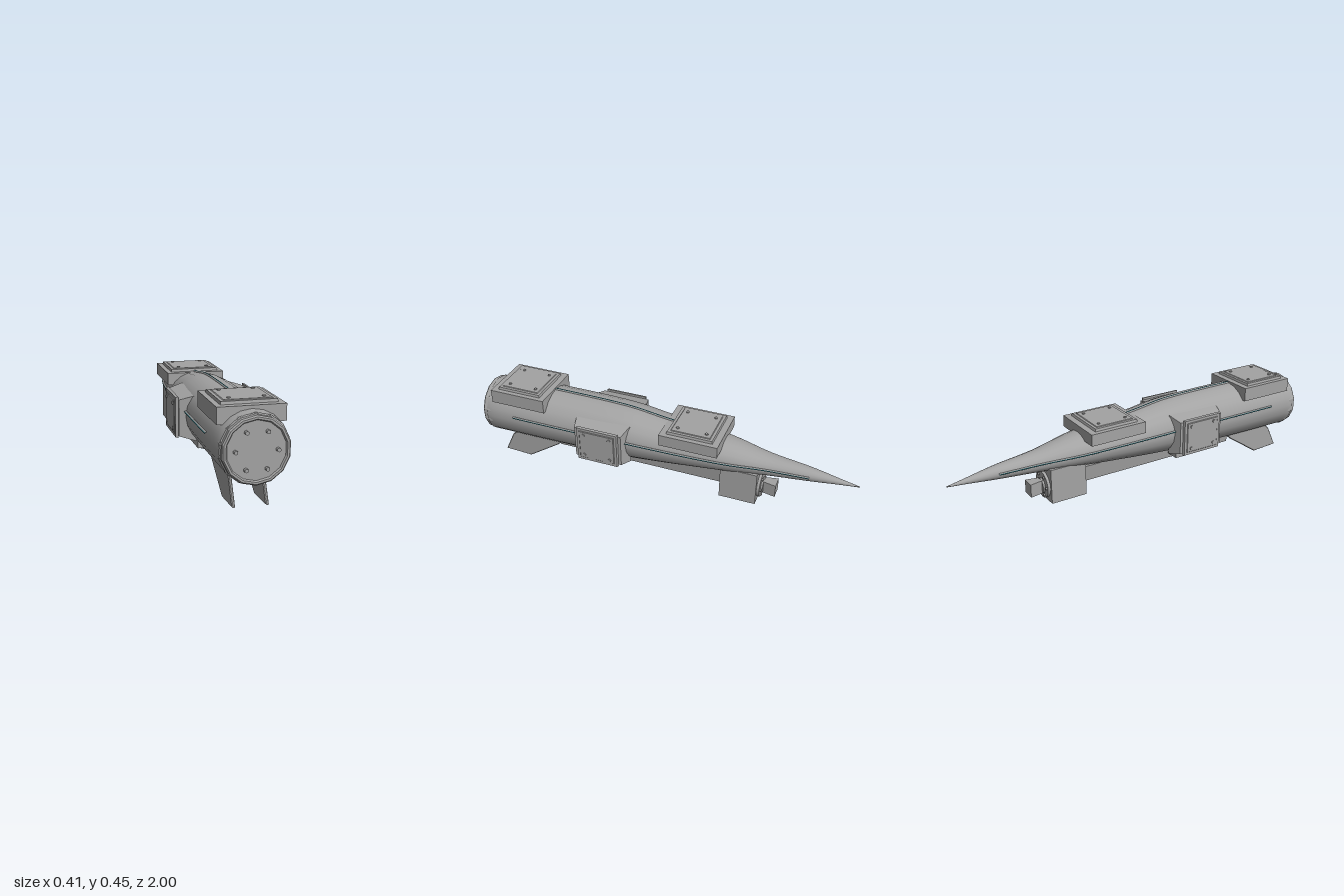
import * as THREE from 'three';
import { mergeVertices } from 'three/addons/utils/BufferGeometryUtils.js';

const hull = new THREE.MeshStandardMaterial({ color: 0xa3a3a3 });
hull.name = 'hull grey';
const teal = new THREE.MeshStandardMaterial({ color: 0x35808c });
teal.name = 'teal light';
const flatHull = hull;

// Body sections from nose cap to tail tip: z, centre y, half width, half height
const SECTIONS = [
  [0.965, 0.27, 0.148, 0.148], [0.9, 0.275, 0.154, 0.15], [0.6, 0.278, 0.157, 0.15],
  [0.2, 0.28, 0.153, 0.141], [0, 0.274, 0.14, 0.121], [-0.2, 0.271, 0.122, 0.1],
  [-0.36, 0.267, 0.103, 0.082], [-0.55, 0.256, 0.066, 0.054],
  [-0.76, 0.251, 0.038, 0.034], [-0.9, 0.245, 0.016, 0.015], [-1, 0.24, 0.002, 0.002],
];

// Smoothly interpolated section at a given z
function section(z) {
  let i = 0;
  while (i < SECTIONS.length - 2 && z < SECTIONS[i + 1][0]) i++;
  const at = (k) => SECTIONS[Math.min(Math.max(k, 0), SECTIONS.length - 1)];
  const a = at(i), b = at(i + 1);
  const span = b[0] - a[0];
  const t = Math.min(Math.max((z - a[0]) / span, 0), 1);
  const slope = (k, c) => (at(k + 1)[c] - at(k - 1)[c]) / (at(k + 1)[0] - at(k - 1)[0]);
  const value = (c) => {
    const t2 = t * t, t3 = t2 * t;
    return (2 * t3 - 3 * t2 + 1) * a[c] + (t3 - 2 * t2 + t) * span * slope(i, c)
      + (3 * t2 - 2 * t3) * b[c] + (t3 - t2) * span * slope(i + 1, c);
  };
  return { cy: value(1), rx: value(2), ry: value(3) };
}

function add(parent, name, geometry, material = flatHull, x = 0, y = 0, z = 0) {
  const mesh = new THREE.Mesh(geometry, material);
  mesh.name = name;
  mesh.position.set(x, y, z);
  parent.add(mesh);
  return mesh;
}

// Box standing on y = 0 whose top may be smaller than its base
function taperedBox(w, h, l, topW = w, topL = l) {
  const g = new THREE.BoxGeometry(w, h, l).translate(0, h / 2, 0);
  const p = g.attributes.position;
  for (let i = 0; i < p.count; i++) {
    if (p.getY(i) > h / 2) {
      p.setX(i, Math.sign(p.getX(i)) * topW / 2);
      p.setZ(i, Math.sign(p.getZ(i)) * topL / 2);
    }
  }
  g.computeVertexNormals();
  return g;
}

function createBody() {
  let g = new THREE.CylinderGeometry(1, 1, 1, 20, 44, true).rotateX(Math.PI / 2);
  g.deleteAttribute('uv');
  g.deleteAttribute('normal');
  const p = g.attributes.position;
  for (let i = 0; i < p.count; i++) {
    const z = -1 + (p.getZ(i) + 0.5) * 1.965;
    const s = section(z);
    p.setXYZ(i, p.getX(i) * s.rx, s.cy + p.getY(i) * s.ry, z);
  }
  g = mergeVertices(g);
  g.computeVertexNormals();
  return g;
}

// Bolted cover: bevelled plate, raised inner panel and four bolts
function createCover(w, l, bx, bz, h = 0.013) {
  const cover = new THREE.Group();
  cover.name = 'cover';
  add(cover, 'coverPlate', taperedBox(w, h, l, w - 0.006, l - 0.006));
  add(cover, 'coverPanel', taperedBox(w - 0.034, 0.003, l - 0.034, w - 0.04, l - 0.04), hull, 0, h, 0);
  for (const sx of [-1, 1]) for (const sz of [-1, 1]) {
    add(cover, 'bolt', new THREE.CylinderGeometry(0.008, 0.009, 0.008, 6), hull, sx * bx, h + 0.004, sz * bz);
  }
  return cover;
}

// Pod block with its cover, pointing along local +y
function createPod(name, block, height, cover) {
  const pod = new THREE.Group();
  pod.name = name;
  add(pod, 'podBlock', block);
  cover.position.y = height;
  pod.add(cover);
  return pod;
}

// Light strip lying on the hull: grey bead with a teal bead on its crest
function addStrip(parent, name, points, outward) {
  const curve = new THREE.CatmullRomCurve3(points);
  add(parent, name + 'Channel', new THREE.TubeGeometry(curve, 32, 0.006, 6));
  const crest = new THREE.CatmullRomCurve3(points.map((v) => v.clone().addScaledVector(outward, 0.004)));
  add(parent, name + 'Light', new THREE.TubeGeometry(crest, 32, 0.0035, 6), teal);
}

export function createModel() {
  const model = new THREE.Group();
  model.name = 'craft';
  add(model, 'body', createBody());

  // Front cap: stepped rim, recessed disc and six bolts
  const rim = [[0.15, 0.94], [0.15, 0.962], [0.144, 0.966], [0.144, 0.986], [0.138, 0.992],
    [0.129, 0.992], [0.124, 0.984], [0, 0.984]].map(([r, z]) => new THREE.Vector2(r, z));
  const cap = new THREE.LatheGeometry(rim, 14).rotateX(Math.PI / 2).toNonIndexed();
  cap.computeVertexNormals();
  add(model, 'frontCap', cap, hull, 0, 0.27, 0);
  for (let i = 0; i < 6; i++) {
    const a = i * Math.PI / 3;
    const bolt = new THREE.CylinderGeometry(0.009, 0.009, 0.018, 6).rotateX(Math.PI / 2);
    add(model, 'capBolt', bolt, hull, 0.088 * Math.cos(a), 0.27 + 0.088 * Math.sin(a), 0.991);
  }

  // Top pods
  for (const [name, y, z] of [['frontTopPod', 0.365, 0.767], ['rearTopPod', 0.33, -0.172]]) {
    const h = y > 0.35 ? 0.072 : 0.06;
    const pod = createPod(name, taperedBox(0.292, h, 0.305), h, createCover(0.244, 0.24, 0.075, 0.075));
    pod.position.set(0, y, z);
    model.add(pod);
  }

  // Side pods, flared towards the hull
  for (const s of [-1, 1]) {
    const pod = createPod(s > 0 ? 'leftPod' : 'rightPod',
      taperedBox(0.215, 0.076, 0.295, 0.172, 0.255), 0.076, createCover(0.195, 0.225, 0.06, 0.07));
    pod.rotation.z = -s * Math.PI / 2;
    pod.position.set(s * 0.11, 0.268, 0.293);
    model.add(pod);
  }

  // Belly pod
  const belly = createPod('bellyPod', taperedBox(0.18, 0.045, 0.18), 0.045,
    createCover(0.14, 0.14, 0.045, 0.045, 0.01));
  belly.rotation.z = Math.PI;
  belly.position.set(0, 0.154, 0.3);
  model.add(belly);

  // Keel rail, narrower at the bottom
  const keel = add(model, 'keelRail', taperedBox(0.05, 0.085, 0.96, 0.028, 0.94), hull, 0, 0.167, 0.14);
  keel.rotation.z = Math.PI;

  // Tail equipment box with round end plate and nozzle
  add(model, 'tailBox', taperedBox(0.156, 0.18, 0.19), hull, 0, 0.045, -0.42);
  const disc = (r, d, n) => new THREE.CylinderGeometry(r, r, d, n).rotateX(Math.PI / 2);
  add(model, 'endPlate', disc(0.068, 0.016, 20), hull, 0, 0.122, -0.521);
  add(model, 'endHub', disc(0.04, 0.012, 8), hull, 0, 0.118, -0.533);
  for (let i = 0; i < 6; i++) {
    const a = i * Math.PI / 3;
    add(model, 'endBolt', disc(0.007, 0.01, 6), hull, 0.054 * Math.cos(a), 0.122 + 0.054 * Math.sin(a), -0.532);
  }
  const nozzle = add(model, 'nozzle', taperedBox(0.04, 0.068, 0.068, 0.066, 0.068), hull, 0, 0.118, -0.535);
  nozzle.rotation.x = -Math.PI / 2;

  // Swept ventral fins
  const outline = new THREE.Shape([[-0.923, 0.014], [-0.77, 0.006], [-0.59, 0.125], [-0.54, 0.17],
    [-0.82, 0.17], [-0.868, 0.125]].map(([x, y]) => new THREE.Vector2(x, y)));
  for (const s of [-1, 1]) {
    const fin = new THREE.ExtrudeGeometry(outline, { depth: 0.006, bevelSize: 0.004,
      bevelThickness: 0.004, bevelSegments: 1, bevelOffset: -0.004 });
    fin.translate(0, 0, -0.003).rotateY(Math.PI / 2);
    add(model, s > 0 ? 'leftFin' : 'rightFin', fin, hull, s * 0.072, 0, 0);
  }

  // Light strips along both flanks and the spine
  const range = (a, b) => Array.from({ length: 12 }, (_, i) => a + (b - a) * i / 11);
  for (const s of [-1, 1]) {
    const flank = (z) => {
      const { cy, rx, ry } = section(z);
      const y = z > 0.2 ? 0.299 : 0.299 - (0.2 - z) * 0.047;
      const k = Math.min(Math.abs(y - cy) / ry, 0.9);
      return new THREE.Vector3(s * (rx * Math.sqrt(1 - k * k) + 0.001), y, z);
    };
    const out = new THREE.Vector3(s, 0, 0);
    const side = s > 0 ? 'left' : 'right';
    addStrip(model, side + 'FrontStrip', range(0.8, 0.42).map(flank), out);
    addStrip(model, side + 'RearStrip', range(0.18, -0.76).map(flank), out);
  }
  const spine = range(0.64, -0.05).map((z) => {
    const { cy, ry } = section(z);
    return new THREE.Vector3(0, cy + ry, z);
  });
  addStrip(model, 'spineStrip', spine, new THREE.Vector3(0, 1, 0));

  return model;
}
